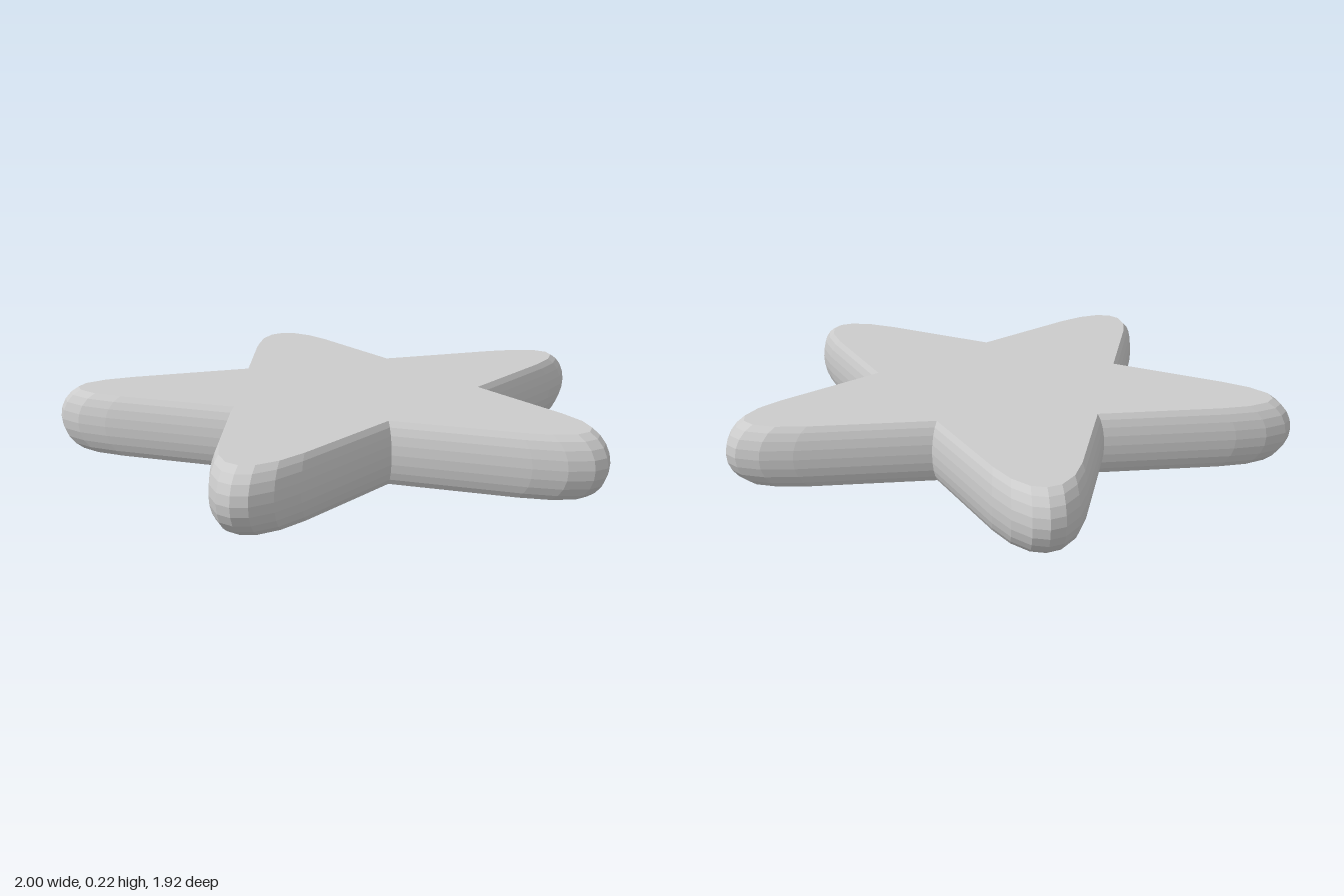
import * as THREE from 'three';

const HEIGHT = 0.22, CENTRE_Z = 0.09, BULGE = 0.067, BANDS = 8;

// One arm's outline: [sideways, outwards] from the valley over the rounded tip
const half = [[0.299, 0.412], [0.153, 0.86], [0.107, 0.965], [0.052, 1.032]];
const arm = [
  ...half.map(([v, u]) => [-v, u]),
  [0, 1.05],
  ...half.slice(1).reverse(), // the next arm supplies the closing valley
];

// Five arms turned about the centre, clockwise seen from above
function starOutline() {
  const points = [];
  for (let k = 0; k < 5; k++) {
    const t = (k * Math.PI * 2) / 5;
    for (const [v, u] of arm) {
      points.push([
        u * Math.sin(t) + v * Math.cos(t),
        -u * Math.cos(t) + v * Math.sin(t),
      ]);
    }
  }
  return points;
}

// Stacked outlines, scaled along a circular arc so the rim bulges
function starGeometry() {
  const outline = starOutline(), n = outline.length;
  const h = HEIGHT / 2;
  const radius = (h * h + BULGE * BULGE) / (2 * BULGE);
  const maxAngle = Math.asin(h / radius);
  const positions = [], indices = [];

  for (let j = 0; j <= BANDS; j++) {
    const a = maxAngle * ((2 * j) / BANDS - 1);
    const y = h + radius * Math.sin(a);
    const s = 1 - radius * (1 - Math.cos(a));
    for (const [x, z] of outline) positions.push(x * s, y, z * s + CENTRE_Z);
  }
  const bottom = positions.length / 3, top = bottom + 1;
  positions.push(0, 0, CENTRE_Z, 0, HEIGHT, CENTRE_Z);

  for (let i = 0; i < n; i++) {
    const next = (i + 1) % n;
    // Rim
    for (let j = 0; j < BANDS; j++) {
      const a = j * n + i, b = j * n + next;
      indices.push(a, a + n, b + n, a, b + n, b);
    }
    // Flat faces
    indices.push(bottom, i, next);
    indices.push(top, BANDS * n + next, BANDS * n + i);
  }

  const geometry = new THREE.BufferGeometry();
  geometry.setAttribute('position', new THREE.Float32BufferAttribute(positions, 3));
  geometry.setIndex(indices);
  const flat = geometry.toNonIndexed();
  flat.computeVertexNormals();
  return flat;
}

export function createModel() {
  const group = new THREE.Group();
  group.name = 'star';
  const material = new THREE.MeshStandardMaterial({ color: 0xcccccc, flatShading: true });
  const body = new THREE.Mesh(starGeometry(), material);
  body.name = 'starBody';
  group.add(body);
  return group;
}
